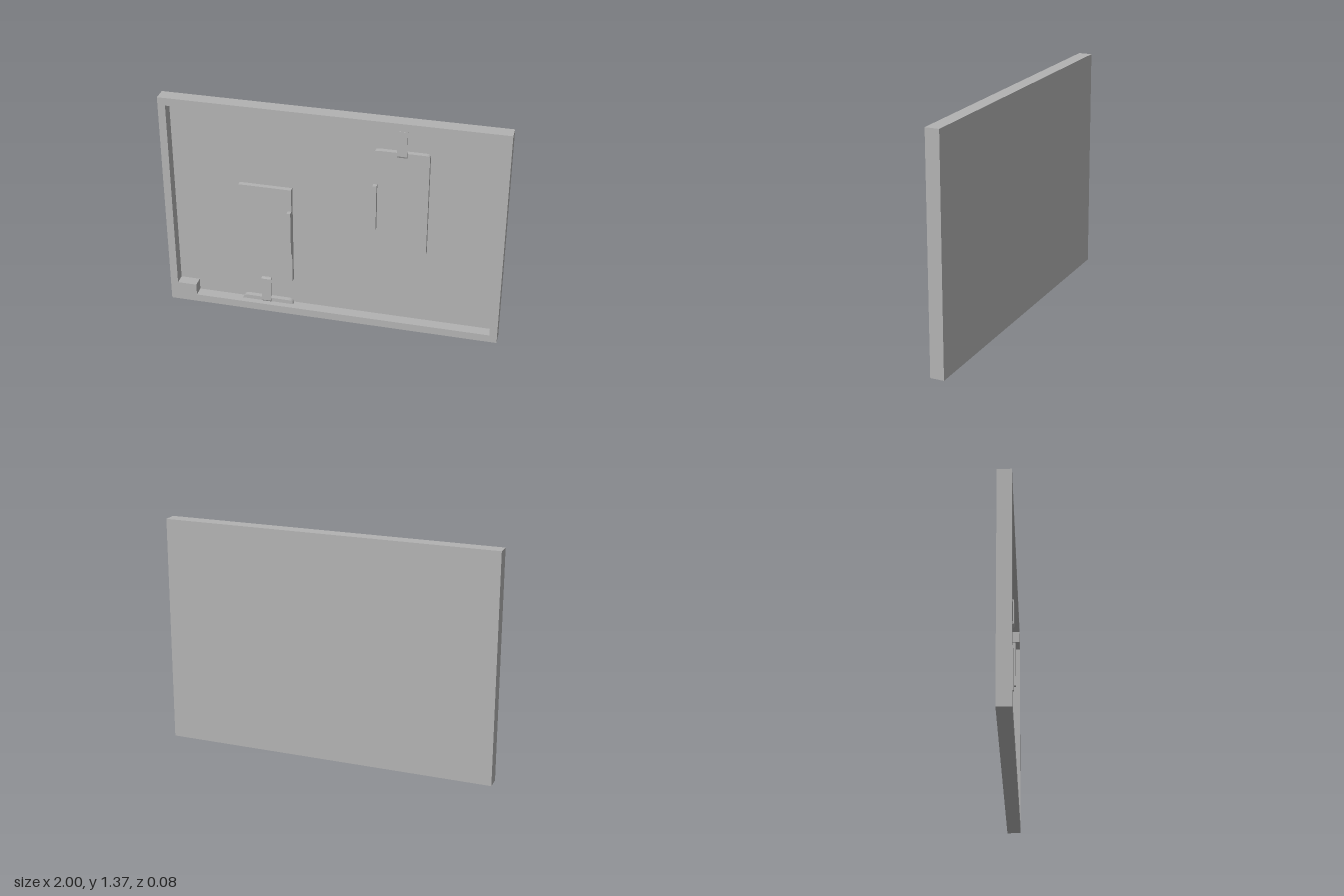
import * as THREE from 'three';

const W = 1, H = 1.366, MID = H / 2;   // half width, height, middle height
const BACK = -0.041, FLOOR = -0.025, FRONT = 0.041, PLATE = 0.004;

// Extrudes a shape forward between two depths
function slab(shape, z0, z1, material, name) {
  const geometry = new THREE.ExtrudeGeometry(shape, { depth: z1 - z0, bevelEnabled: false, curveSegments: 6 });
  geometry.translate(0, 0, z0);
  const mesh = new THREE.Mesh(geometry, material);
  mesh.name = name;
  return mesh;
}

function polygon(points) {
  return new THREE.Shape(points.map(([x, y]) => new THREE.Vector2(x, y)));
}

function rectangle(x0, y0, x1, y1) {
  return polygon([[x0, y0], [x1, y0], [x1, y1], [x0, y1]]);
}

export function createModel() {
  const grey = new THREE.MeshStandardMaterial({ color: 0xb2b2b2 });
  grey.name = 'grey';
  const model = new THREE.Group();
  model.name = 'trayPanel';

  // Back panel
  model.add(slab(rectangle(-W, 0, W, H), BACK, FLOOR, grey, 'backPanel'));

  // Raised rim, with solid blocks in two opposite corners
  const x = 0.955, y0 = 0.047, y1 = H - y0, bx = 0.838, by = 0.072;
  const rim = rectangle(-W, 0, W, H);
  rim.holes.push(polygon([
    [-bx, y0], [x, y0], [x, y1 - by], [bx, y1 - by],
    [bx, y1], [-x, y1], [-x, y0 + by], [-bx, y0 + by],
  ]));
  model.add(slab(rim, FLOOR, FRONT, grey, 'rim'));

  // Two identical plate assemblies, the second turned half around
  for (const turn of [0, Math.PI]) {
    const unit = new THREE.Group();
    unit.name = turn ? 'upperPlateUnit' : 'lowerPlateUnit';
    const l = -0.555, r = -0.24, b = 0.2, t = 0.842, c = 0.03;

    // Plate with two rounded corners
    const plate = new THREE.Shape();
    plate.moveTo(l + c, b);
    plate.lineTo(r - c, b);
    plate.quadraticCurveTo(r, b, r, b + c * 0.6);
    plate.lineTo(r, t);
    plate.lineTo(l, t);
    plate.lineTo(l, b + c * 0.6);
    plate.quadraticCurveTo(l, b, l + c, b);
    unit.add(slab(plate, FLOOR, PLATE, grey, 'plate'));

    // Shallow stub against the rim
    const stub = new THREE.Shape();
    stub.moveTo(l, y0);
    stub.lineTo(r, y0);
    stub.quadraticCurveTo(r - 0.006, 0.072, r - 0.035, 0.072);
    stub.lineTo(l + 0.035, 0.072);
    stub.quadraticCurveTo(l + 0.006, 0.072, l, y0);
    unit.add(slab(stub, FLOOR, PLATE, grey, 'rimStub'));

    // Raised grip on the plate's edge
    unit.add(slab(rectangle(-0.263, 0.415, r, 0.7), PLATE, 0.03, grey, 'edgeGrip'));

    // Bridging strap, side profile drawn as depth against height
    const profile = polygon([
      [PLATE, 0.052], [PLATE, 0.068], [0.01, 0.07], [0.01, 0.205], [PLATE, 0.207],
      [PLATE, 0.224], [0.013, 0.224], [0.018, 0.214], [0.018, 0.06], [0.013, 0.052],
    ]);
    const strap = slab(profile, 0, 0.057, grey, 'strap');
    strap.geometry.rotateY(-Math.PI / 2).translate(-0.372, 0, 0);
    unit.add(strap);

    unit.children.forEach((part) => part.geometry.translate(0, -MID, 0));
    unit.position.y = MID;
    unit.rotation.z = turn;
    model.add(unit);
  }

  return model;
}
